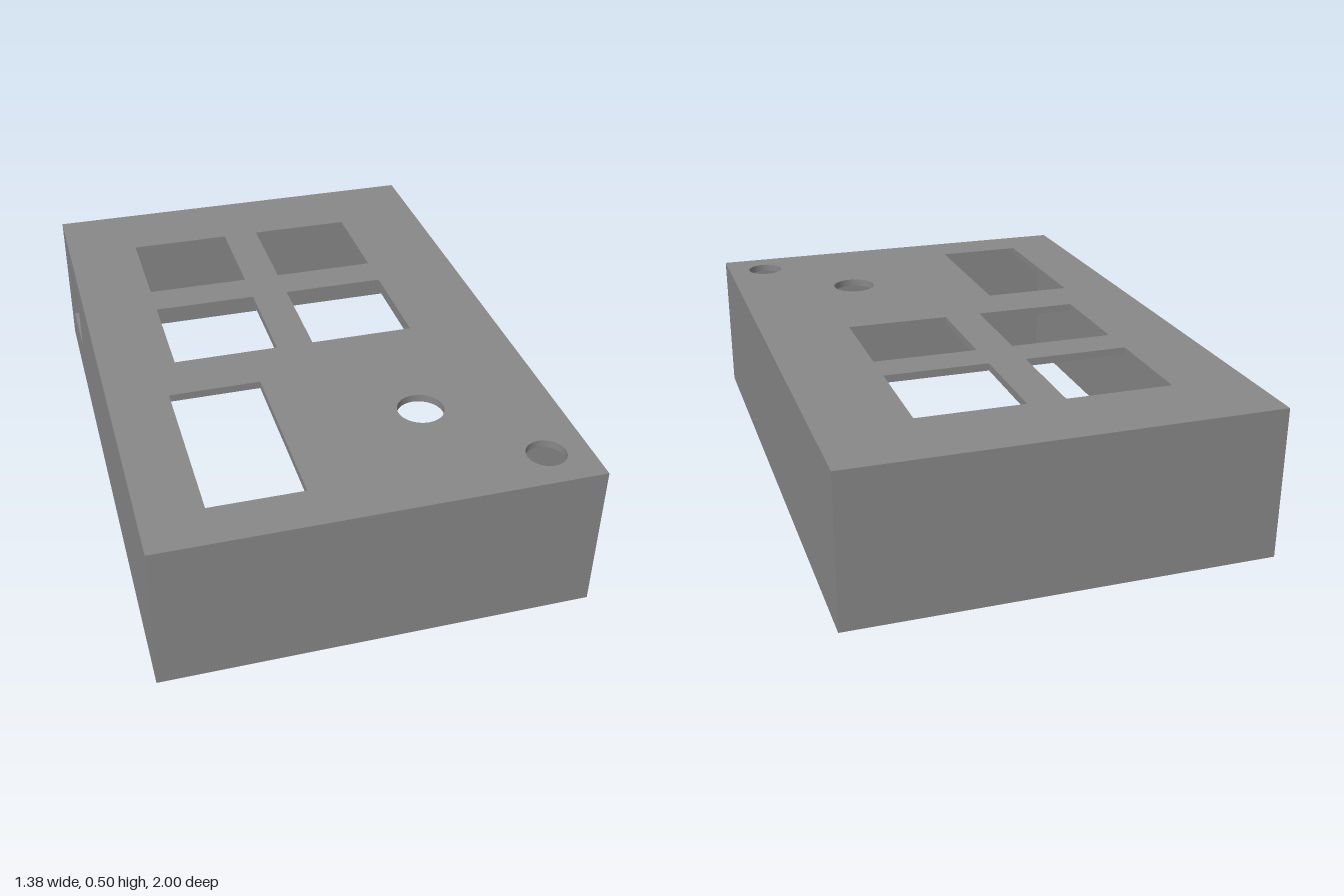
import * as THREE from 'three';

const W = 1.375, H = 0.5, D = 2;   // outer size
const WALL = 0.0375, TOP = 0.025;  // wall and top panel thickness

// Path of a rectangle from its lower corner
function rect(PathType, x, y, w, h) {
  return new PathType([[x, y], [x + w, y], [x + w, y + h], [x, y + h]]
    .map(([a, b]) => new THREE.Vector2(a, b)));
}

function circle(x, y, r) {
  const p = new THREE.Path();
  p.absarc(x, y, r, 0, Math.PI * 2, true);
  return p;
}

// Flat plate with cut-outs, extruded along +z
function plate(x, y, w, h, depth, holes) {
  const shape = rect(THREE.Shape, x, y, w, h);
  shape.holes.push(...holes);
  return new THREE.ExtrudeGeometry(shape, { depth, bevelEnabled: false, curveSegments: 40 });
}

export function createModel() {
  const group = new THREE.Group();
  const material = new THREE.MeshStandardMaterial({ color: 0x888888 });
  const add = (name, geometry, x, y, z) => {
    const mesh = new THREE.Mesh(geometry, material);
    mesh.name = name;
    mesh.position.set(x, y, z);
    group.add(mesh);
  };
  const wallH = H - TOP;

  // Top panel: shape y runs towards the back (-z)
  const holes = [];
  for (const x of [-0.4375, 0.0375])
    for (const z of [-0.7325, -0.2575])
      holes.push(rect(THREE.Path, x, -z - 0.348, 0.35, 0.348)); // key openings
  holes.push(rect(THREE.Path, -0.49, -0.847, 0.3, 0.573));      // display window
  holes.push(circle(0.2625, -0.55, 0.075));                    // large round hole
  holes.push(circle(0.55, -0.8625, 0.0625));                   // small round hole
  add('topPanel', plate(-W / 2, -D / 2, W, D, TOP, holes).rotateX(-Math.PI / 2), 0, wallH, 0);

  // Front and back walls
  for (const s of [1, -1])
    add(s > 0 ? 'frontWall' : 'backWall', new THREE.BoxGeometry(W, wallH, WALL),
      0, wallH / 2, s * (D - WALL) / 2);

  // Plain left wall
  add('leftWall', new THREE.BoxGeometry(WALL, wallH, D - 2 * WALL), (W - WALL) / 2, wallH / 2, 0);

  // Right wall with a square port near the back: shape x runs along z
  const port = rect(THREE.Path, -0.85, 0.175, 0.25, 0.25);
  add('rightWall', plate(-D / 2 + WALL, 0, D - 2 * WALL, wallH, WALL, [port]).rotateY(-Math.PI / 2),
    -W / 2 + WALL, 0, 0);

  return group;
}
